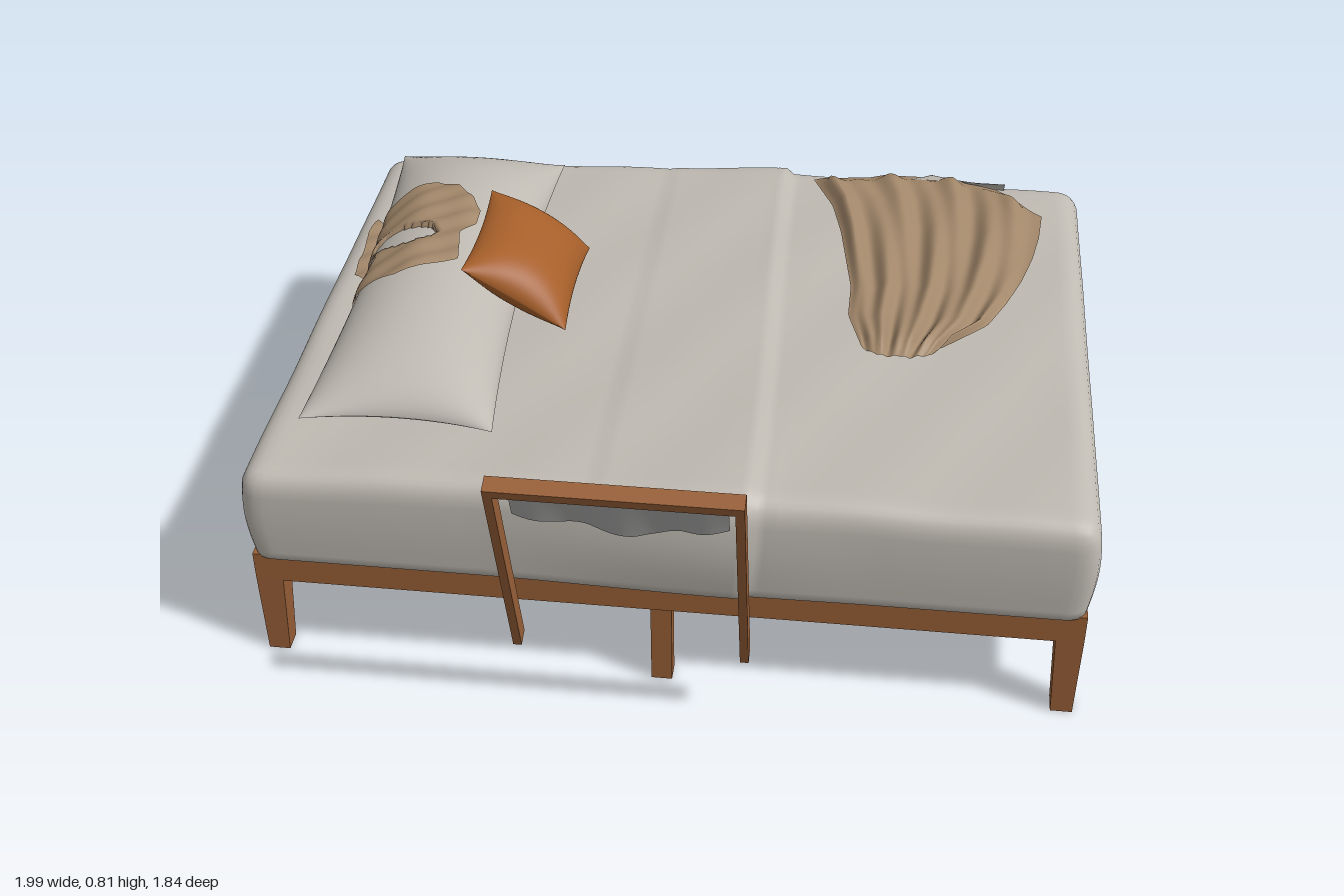
import * as THREE from 'three';
import { mergeVertices } from 'three/addons/utils/BufferGeometryUtils.js';

const mat = (name, color, side = THREE.FrontSide) => {
  const m = new THREE.MeshStandardMaterial({ color, side });
  m.name = name;
  return m;
};
const { lerp, clamp, smoothstep } = THREE.MathUtils;

// Value of an evenly spaced polyline at t in 0..1
function along(list, t) {
  const s = clamp(t, 0, 1) * (list.length - 1);
  const i = Math.min(Math.floor(s), list.length - 2);
  return lerp(list[i], list[i + 1], s - i);
}

// Grid surface; fn(u, v) gives [x, y, z] with u and v in 0..1, facing up for x = u, z = v
function sheet(nu, nv, fn) {
  const g = new THREE.PlaneGeometry(1, 1, nu, nv);
  const p = g.attributes.position;
  for (let i = 0; i < p.count; i++) p.setXYZ(i, ...fn(p.getX(i) + 0.5, 0.5 - p.getY(i)));
  g.computeVertexNormals();
  return g;
}

// Height of the bedding along the bed, with the folded band near the middle
function bedTop(x) {
  if (x < -0.16) return lerp(0.548, 0.572, smoothstep(x, -0.97, -0.2));
  if (x < 0.185) return lerp(0.576, 0.59, (x + 0.16) / 0.345);
  return lerp(0.577, 0.568, (x - 0.185) / 0.8);
}

const PILLOW = { x: -0.663, y: 0.605, z: -0.16, w: 0.46, d: 1.25, h: 0.115, pinch: 0.12, skew: 0.032 };
const puff = (a, b) => Math.pow(Math.max(0, (1 - a * a) * (1 - b ** 4)), 0.6);

function pillowTop(x, z) {
  const P = PILLOW;
  const b = (z - P.z) / (P.d / 2);
  const a = (x - P.x - P.skew * (z - P.z)) / ((P.w / 2) * (1 - P.pinch * (1 - b * b)));
  return Math.abs(a) < 1 && Math.abs(b) < 1 ? P.y + P.h * puff(a, b) : 0;
}

// Stuffed cushion with pointed corners, made of an upper and a lower skin
function cushion(name, material, { w, d, top, bottom, pinch, skew = 0 }) {
  const group = new THREE.Group();
  group.name = name;
  for (const s of [1, -1]) {
    const g = sheet(28, 40, (u, v) => {
      const a = Math.sin((u - 0.5) * Math.PI) * s, b = Math.sin((v - 0.5) * Math.PI);
      const z = b * d / 2 * (1 - pinch * 0.4 * (1 - a * a));
      const x = a * w / 2 * (1 - pinch * (1 - b * b)) + skew * z;
      return [x, s * (s > 0 ? top : bottom) * puff(a, b), z];
    });
    const m = new THREE.Mesh(g, material);
    m.name = s > 0 ? name + 'Upper' : name + 'Lower';
    group.add(m);
  }
  return group;
}

// Mattress and bedding: box with rounded upper edges, soft sides and a folded band
function beddingGeometry() {
  const W = 0.98, D = 0.755, r = 0.05, y0 = 0.3, y1 = 0.57;
  let g = new THREE.BoxGeometry(W * 2, y1 - y0, D * 2, 96, 12, 72);
  const p = g.attributes.position, v = new THREE.Vector3(), c = new THREE.Vector3();
  for (let i = 0; i < p.count; i++) {
    v.fromBufferAttribute(p, i);
    v.y += (y0 + y1) / 2;
    c.set(clamp(v.x, r - W, W - r), Math.min(v.y, y1 - r), clamp(v.z, r - D, D - r));
    v.sub(c);
    if (v.lengthSq() > 0 && (c.y > y0 + 0.001 || Math.hypot(v.x, v.z) > r * 0.99)) v.setLength(r);
    v.add(c);
    const h = (v.y - y0) / (y1 - y0);
    const bulge = Math.sin(Math.PI * clamp(h, 0, 1));
    const band = v.x < 0.19 ? smoothstep(v.x, -0.45, 0.17) : 0.25 * (1 - smoothstep(v.x, 0.2, 0.5));
    const side = Math.abs(v.z) / D;
    const ripple = 0.002 * Math.sin(v.x * 17 + v.z * 9) + 0.0015 * Math.sin(v.z * 13 - v.x * 7);
    const x = v.x;
    v.x *= 1 + 0.014 * bulge;
    v.z *= 1 + side ** 6 * (band * 0.035 * (0.5 + 0.5 * bulge) + 0.008 * bulge);
    v.y = y0 + h * (bedTop(x) + ripple - y0);
    if (x > 0.15 && x < 0.25) v.x += 0.015 * Math.sin(v.z * 2.2) * h;
    p.setXYZ(i, v.x, v.y, v.z - 0.135);
  }
  g.deleteAttribute('uv');
  g.deleteAttribute('normal');
  g = mergeVertices(g, 1e-4);
  g.computeVertexNormals();
  return g;
}

export function createModel() {
  const wood = mat('wood', 0x985f37);
  const linen = mat('linen', 0xbfbab2, THREE.DoubleSide);
  const tan = mat('tanWool', 0xa2876a, THREE.DoubleSide);
  const rust = mat('rustFabric', 0xa65f2a, THREE.DoubleSide);
  const grey = mat('greyCloth', 0xa9a9a8, THREE.DoubleSide);

  const model = new THREE.Group();
  model.name = 'bed';
  const add = (name, geometry, material, x = 0, y = 0, z = 0, parent = model) => {
    const m = new THREE.Mesh(geometry, material);
    m.name = name;
    m.position.set(x, y, z);
    parent.add(m);
    return m;
  };
  const box = (w, h, d) => new THREE.BoxGeometry(w, h, d);

  // Bed frame rails
  const zc = -0.13;
  for (const s of [1, -1]) {
    add('sideRail', box(1.96, 0.078, 0.05), wood, 0, 0.264, zc + s * 0.715);
    add('endRail', box(0.05, 0.078, 1.38), wood, s * 0.955, 0.264, zc);
  }

  // Corner legs, tapered on their inner faces
  for (const sx of [1, -1]) for (const sz of [1, -1]) {
    const g = box(0.066, 0.23, 0.066);
    const p = g.attributes.position;
    for (let i = 0; i < p.count; i++) if (p.getY(i) < 0) {
      p.setX(i, p.getX(i) * 0.78 + sx * 0.004);
      p.setZ(i, p.getZ(i) * 0.78 + sz * 0.004);
    }
    g.computeVertexNormals();
    add('cornerLeg', g, wood, sx * 0.947, 0.115, zc + sz * 0.707);
  }

  // Middle legs and slim centre supports
  for (const s of [1, -1]) add('middleLeg', box(0.05, 0.23, 0.045), wood, -0.004, 0.115, zc + s * 0.712);
  for (const x of [-0.232, 0.665]) add('centreSupport', new THREE.CylinderGeometry(0.014, 0.014, 0.3, 16), wood, x, 0.15, -0.055);

  // Bedding and its underside
  add('bedding', beddingGeometry(), linen);
  add('mattressBase', box(1.9, 0.008, 1.42), grey, 0, 0.298, zc);

  // Long pillow
  const pillow = cushion('pillow', linen, { ...PILLOW, top: PILLOW.h, bottom: 0.045 });
  pillow.position.set(PILLOW.x, PILLOW.y, PILLOW.z);
  model.add(pillow);

  // Leaning accent cushion
  const accent = cushion('accentCushion', rust, { w: 0.3, d: 0.39, top: 0.07, bottom: 0.06, pinch: 0.07 });
  accent.position.set(-0.443, 0.677, -0.175);
  accent.rotation.z = -0.56;
  model.add(accent);

  // Small throw draped over the pillow, with an opening the pillow shows through
  const smallLeft = [-0.92, -0.93, -0.92, -0.92, -0.915, -0.83, -0.85, -0.88];
  const smallRight = [-0.67, -0.62, -0.59, -0.59, -0.62, -0.61, -0.6, -0.7];
  add('pillowThrow', sheet(44, 60, (u, v) => {
    const x = lerp(along(smallLeft, v), along(smallRight, v), u);
    const z = lerp(along([-0.485, -0.41, -0.44, -0.455, -0.43], u), along([0, 0.015, 0, 0, -0.02], u), v);
    const hole = Math.hypot((x + 0.77) / 0.085, (z + 0.2) / 0.042);
    const fold = 0.012 + 0.006 * Math.sin(x * 45 + z * 30) * Math.sin(z * 38);
    const y = Math.max(pillowTop(x, z), bedTop(x) + 0.012) + fold;
    return [x, hole < 1 ? y - 0.04 : y, z];
  }), tan);

  // Large throw spread over the foot of the bed
  const left = [0.25, 0.31, 0.34, 0.36, 0.38, 0.38, 0.42];
  const right = [0.88, 0.87, 0.85, 0.82, 0.78, 0.73, 0.62];
  add('footThrow', sheet(80, 40, (u, v) => {
    const back = along([-0.81, -0.845, -0.87, -0.87, -0.83, -0.7], u);
    const front = along([-0.01, 0.02, 0.02, 0.02, 0.01, -0.03], u);
    const rim = smoothstep(Math.min(u, 1 - u, v, 1 - v), 0, 0.06);
    const folds = 0.009 * Math.sin(u * 24 + v * 3) + 0.006 * Math.sin(u * 45 - v * 4);
    const x = lerp(along(left, v), along(right, v), u);
    const lift = 0.022 + folds + 0.012 * (1 - v) * (1 - u);
    return [x, bedTop(x) + 0.005 + lift * (0.25 + 0.75 * rim), lerp(back, front, v)];
  }), tan);

  // Turned-over corner of the throw hanging past the bed edge
  add('throwCorner', sheet(16, 6, (u, v) => {
    const tip = along([-0.865, -0.918, -0.89, -0.865, -0.85], u);
    return [lerp(0.51, 0.78, u), lerp(0.555, 0.604, Math.sqrt(v)), lerp(tip, -0.82, v)];
  }), linen);

  // Leaning rack with a cloth hung from its top bar
  const rack = new THREE.Group();
  rack.name = 'leaningRack';
  rack.position.set(-0.06, 0.5, 0.803);
  rack.rotation.x = 0.302;
  for (const s of [1, -1]) add('rackPost', box(0.02, 0.636, 0.04), wood, s * 0.265, 0, 0, rack);
  add('rackBar', box(0.55, 0.024, 0.04), wood, 0, 0.306, 0, rack);
  add('hangingCloth', sheet(40, 14, (u, v) => {
    const low = along([0.19, 0.178, 0.168, 0.165, 0.15, 0.138, 0.145, 0.17, 0.172, 0.182], u);
    const z = -0.008 + v * (0.007 * Math.sin(u * 16) - 0.006);
    return [lerp(-0.23, 0.238, u), lerp(0.298, low, v), z];
  }), grey, 0, 0, 0, rack);
  model.add(rack);

  return model;
}
